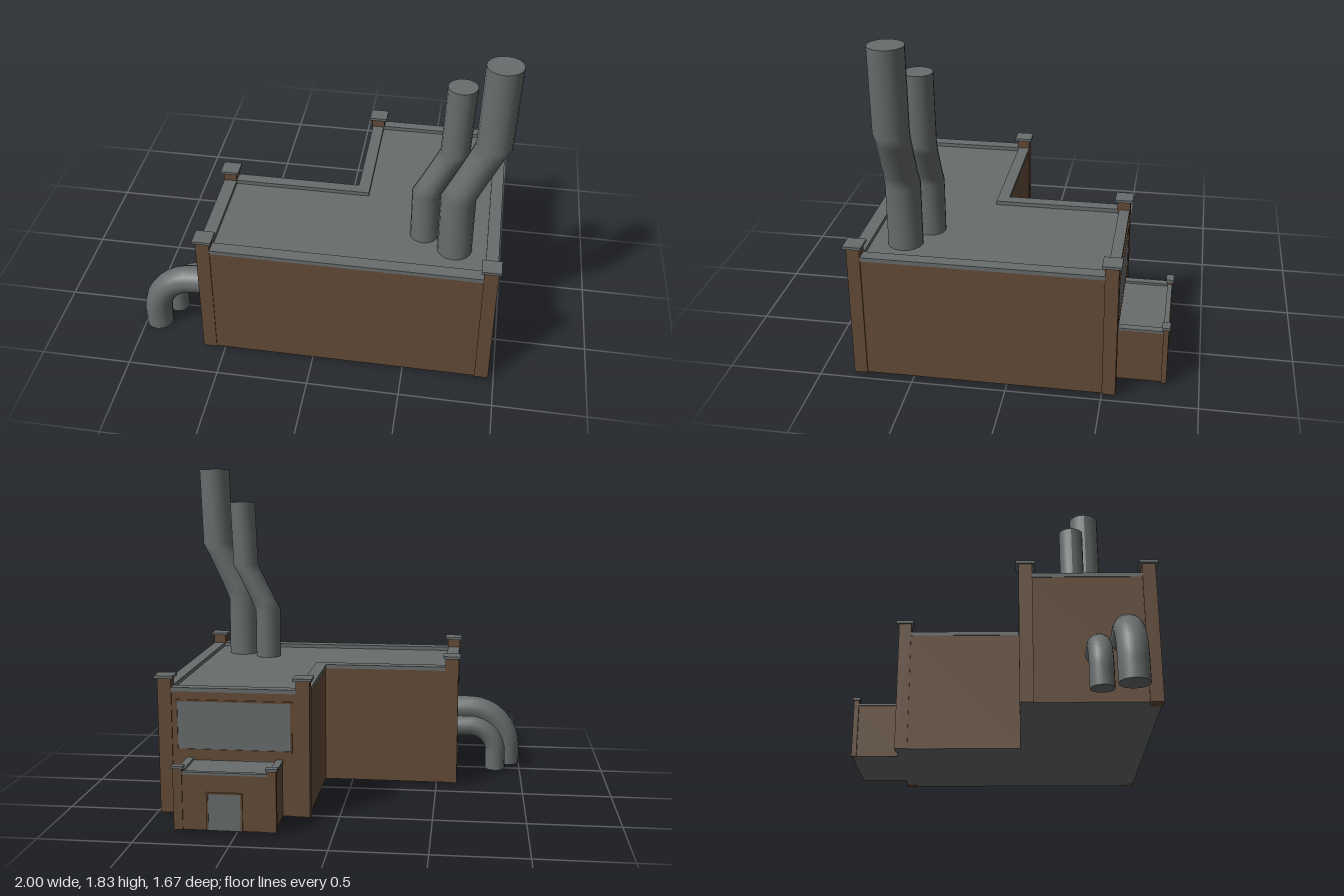
import * as THREE from 'three';

const brick = new THREE.MeshStandardMaterial({ color: 0x634b36 });
brick.name = 'brick brown';
const metal = new THREE.MeshStandardMaterial({ color: 0x686c6c });
metal.name = 'metal grey';

const BASE = 0.015;

// Axis-aligned box given by its limits
function box(name, mat, x0, x1, y0, y1, z0, z1) {
  const m = new THREE.Mesh(new THREE.BoxGeometry(x1 - x0, y1 - y0, z1 - z0), mat);
  m.position.set((x0 + x1) / 2, (y0 + y1) / 2, (z0 + z1) / 2);
  m.name = name;
  return m;
}

// Upright prism over a floor plan of [x, z] points, with an optional hole
function prism(name, mats, plan, y0, y1, hole) {
  const toV = ([x, z]) => new THREE.Vector2(x, -z);
  const shape = new THREE.Shape(plan.map(toV));
  if (hole) shape.holes.push(new THREE.Path(hole.map(toV)));
  const geo = new THREE.ExtrudeGeometry(shape, { depth: y1 - y0, bevelEnabled: false });
  geo.rotateX(-Math.PI / 2);
  const m = new THREE.Mesh(geo, mats);
  m.position.y = y0;
  m.name = name;
  return m;
}

// Corner pillar with a flat cap
function pillar(name, x, z, w, d, top, over) {
  const g = new THREE.Group();
  g.name = name;
  g.add(box(name + 'Shaft', brick, x - w / 2, x + w / 2, BASE, top, z - d / 2, z + d / 2));
  const a = w / 2 + over, b = d / 2 + over;
  g.add(box(name + 'Cap', metal, x - a, x + a, top, top + 0.015, z - b, z + b));
  return g;
}

// Capped pipe in the xy plane from rings { x, y, r, a }, a = travel angle from +x
function pipe(name, z, rings, sides = 16) {
  const pos = [], idx = [];
  const addRing = ({ x, y, r, a }) => {
    const start = pos.length / 3;
    for (let j = 0; j <= sides; j++) {
      const t = (j / sides) * Math.PI * 2;
      const u = r * Math.cos(t);
      pos.push(x - u * Math.sin(a), y + u * Math.cos(a), z + r * Math.sin(t));
    }
    return start;
  };
  const starts = rings.map(addRing);
  for (let i = 0; i < starts.length - 1; i++) {
    for (let j = 0; j < sides; j++) {
      const p = starts[i] + j, q = starts[i + 1] + j;
      idx.push(p, p + 1, q, p + 1, q + 1, q);
    }
  }
  // End discs have their own vertices so the rims stay sharp
  const first = addRing(rings[0]), last = addRing(rings[rings.length - 1]);
  for (let j = 1; j < sides - 1; j++) {
    idx.push(first, first + j + 1, first + j);
    idx.push(last, last + j, last + j + 1);
  }
  const geo = new THREE.BufferGeometry();
  geo.setAttribute('position', new THREE.Float32BufferAttribute(pos, 3));
  geo.setIndex(idx);
  geo.computeVertexNormals();
  const m = new THREE.Mesh(geo, metal);
  m.name = name;
  return m;
}

// Side pipe: out of the wall, quarter bend, down to the ground
function elbow(name, z, r, x, y) {
  const cx = -0.695, cy = 0.105;
  const rings = [{ x: -0.58, y, r, a: Math.PI }];
  for (let i = 0; i <= 8; i++) {
    const t = Math.PI / 2 * (1 + i / 8);
    rings.push({
      x: cx + (cx - x) * Math.cos(t), y: cy + (y - cy) * Math.sin(t),
      r, a: t + Math.PI / 2,
    });
  }
  rings.push({ x, y: 0, r, a: Math.PI * 1.5 });
  return pipe(name, z, rings);
}

// Chimney: upright, slanted towards +x, then nearly upright again
function chimney(name, z, r, x0, x1, x2, y1, y2, top) {
  const at = (k, s) => ({
    x: x0 + (x1 - x0) * k, y: y1 + (y2 - y1) * k, r: r * s, a: Math.PI / 2 - 0.04,
  });
  return pipe(name, z, [
    { x: x0, y: 0.66, r, a: Math.PI / 2 },
    at(0, 1), at(0.2, 0.96), at(0.8, 0.96), at(1, 1),
    { x: x2, y: top, r, a: Math.PI / 2 },
  ]);
}

export function createModel() {
  const model = new THREE.Group();
  model.name = 'factory';

  // L-shaped main building with raised roof trim
  const plan = [[-0.612, 0.812], [0.962, 0.812], [0.962, -0.565], [0.158, -0.565], [0.158, 0.12], [-0.612, 0.12]];
  const outer = [[-0.617, 0.816], [0.967, 0.816], [0.967, -0.569], [0.154, -0.569], [0.154, 0.116], [-0.617, 0.116]];
  const inner = [[-0.545, 0.745], [0.9, 0.745], [0.9, -0.51], [0.22, -0.51], [0.22, 0.18], [-0.545, 0.18]];
  model.add(prism('mainWalls', [metal, brick], plan, BASE, 0.688));
  model.add(prism('roofTrim', metal, outer, 0.688, 0.71, inner));

  const corners = [[-0.582, 0.783], [0.933, 0.783], [-0.582, 0.15], [0.188, -0.537], [0.933, -0.537]];
  corners.forEach(([x, z], i) => model.add(pillar('cornerPillar' + (i + 1), x, z, 0.074, 0.07, 0.76, 0.014)));

  // Rear annex
  const rect = (x0, x1, z0, z1) => [[x0, z1], [x1, z1], [x1, z0], [x0, z0]];
  model.add(prism('annexWalls', [metal, brick], rect(0.3, 0.815, -0.822, -0.55), BASE, 0.313));
  model.add(prism('annexTrim', metal, rect(0.296, 0.819, -0.826, -0.56), 0.313, 0.326,
    rect(0.335, 0.78, -0.8, -0.565)));
  for (const x of [0.312, 0.804]) {
    model.add(pillar('annexPillar', x, -0.814, 0.048, 0.028, 0.342, 0.007));
  }

  // Rear door and wide window with thin frames
  const opening = (name, x0, x1, y0, y1, z, sill) => {
    const f = 0.01;
    model.add(box(name, metal, x0, x1, y0, y1, z - 0.003, z));
    model.add(box(name + 'FrameTop', brick, x0 - f, x1 + f, y1, y1 + f, z - 0.007, z));
    model.add(box(name + 'FrameSide', brick, x0 - f, x0, y0, y1, z - 0.007, z));
    model.add(box(name + 'FrameSide', brick, x1, x1 + f, y0, y1, z - 0.007, z));
    if (sill) model.add(box(name + 'FrameSill', brick, x0 - f, x1 + f, y0 - f, y0, z - 0.007, z));
  };
  opening('window', 0.255, 0.865, 0.375, 0.635, -0.565, true);
  opening('door', 0.475, 0.645, BASE, 0.21, -0.822, false);

  // Pipes from the side wall and chimneys on the roof
  model.add(elbow('largeSidePipe', 0.643, 0.0765, -0.924, 0.343));
  model.add(elbow('smallSidePipe', 0.5, 0.06, -0.85, 0.265));
  model.add(chimney('largeChimney', 0.568, 0.092, 0.73, 0.888, 0.903, 1.035, 1.378, 1.83));
  model.add(chimney('smallChimney', 0.468, 0.076, 0.56, 0.695, 0.71, 0.98, 1.255, 1.635));

  return model;
}
